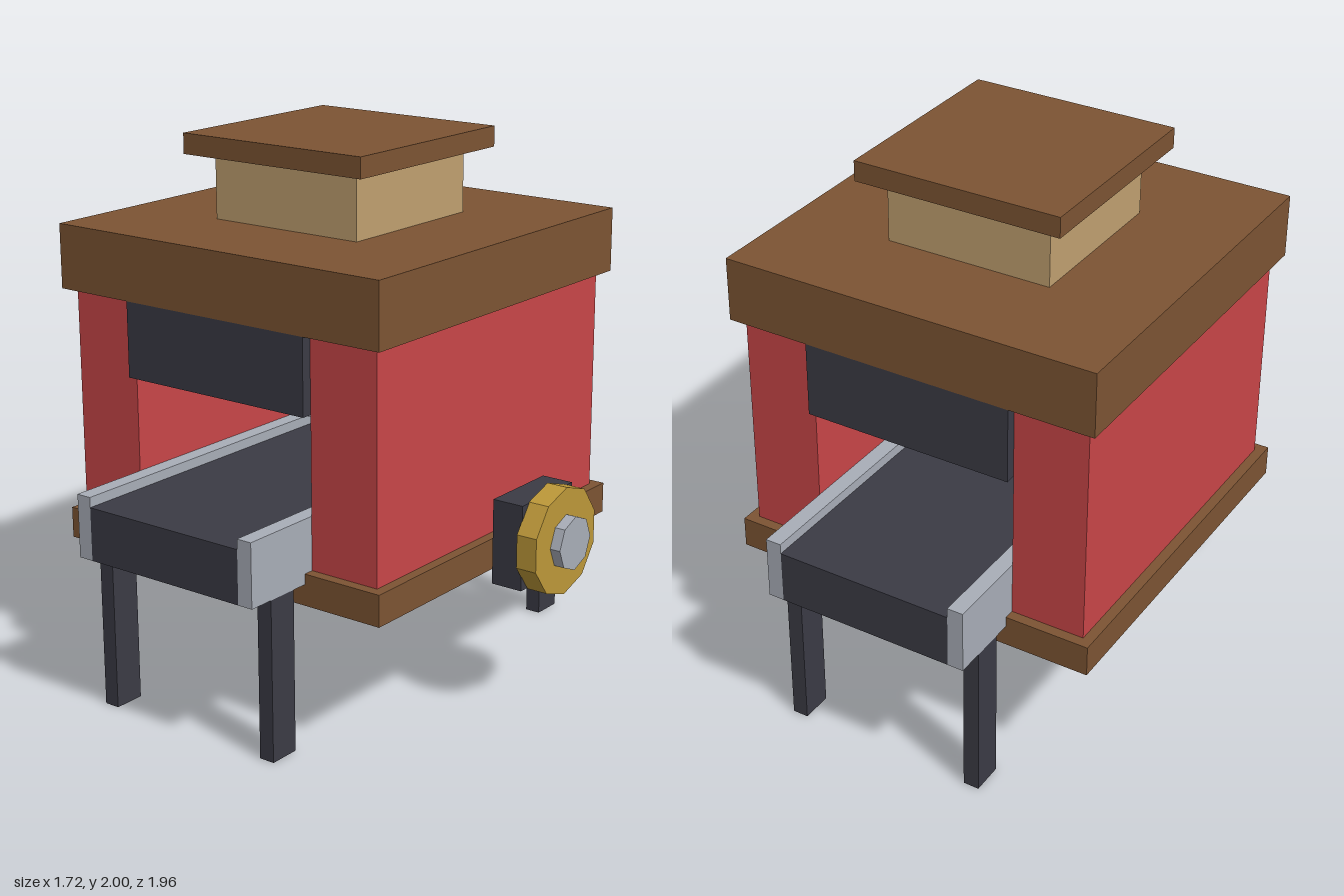
import * as THREE from 'three';

export function createModel() {
  const model = new THREE.Group();
  model.name = 'pressMachine';

  const mat = (name, color) => {
    const m = new THREE.MeshStandardMaterial({ color });
    m.name = name;
    return m;
  };
  const red = mat('red', 0xc94648);
  const brown = mat('brown', 0x7d5433);
  const tan = mat('tan', 0xc0a070);
  const dark = mat('charcoal', 0x3b3b45);
  const steel = mat('steel', 0xa9aeb8);
  const gold = mat('gold', 0xbd9839);

  const CX = -0.157; // centre line of the housing

  const add = (name, geometry, material, x, y, z) => {
    const mesh = new THREE.Mesh(geometry, material);
    mesh.name = name;
    mesh.position.set(x, y, z);
    model.add(mesh);
    return mesh;
  };
  // box given by centre x, bottom and top y, centre z, width and depth
  const box = (name, material, x, y0, y1, z, w, d) =>
    add(name, new THREE.BoxGeometry(w, y1 - y0, d), material, x, (y0 + y1) / 2, z);
  // faceted disc facing +x, with a corner pointing up
  const disc = (name, material, radius, sides, x0, x1, y) => {
    const g = new THREE.CylinderGeometry(radius, radius, x1 - x0, sides, 1, false, Math.PI / 2)
      .toNonIndexed();
    g.computeVertexNormals();
    g.rotateZ(-Math.PI / 2);
    return add(name, g, material, (x0 + x1) / 2, y, 0);
  };

  // housing: slabs and chimney
  box('base', brown, CX, 0.515, 0.63, 0, 1.41, 1.41);
  box('roof', brown, CX, 1.455, 1.69, 0, 1.41, 1.41);
  box('chimney', tan, CX, 1.69, 1.925, 0, 0.627, 0.627);
  box('chimneyCap', brown, CX, 1.925, 2, 0, 0.784, 0.784);

  for (const s of [-1, 1]) {
    const side = s > 0 ? 'left' : 'right';
    // side walls and conveyor rails
    box(side + 'Wall', red, CX + s * 0.5295, 0.63, 1.455, 0, 0.275, 1.332);
    box(side + 'Rail', steel, CX + s * 0.3625, 0.592, 0.825, 0, 0.059, 1.96);
    // conveyor legs
    for (const e of [-1, 1]) {
      box(side + (e > 0 ? 'FrontLeg' : 'BackLeg'), dark,
        CX + s * 0.3625, 0, 0.592, e * 0.824, 0.059, 0.118);
    }
    // hood over each opening
    box(s > 0 ? 'frontHood' : 'backHood', dark, CX, 1.18, 1.455, s * 0.666, 0.784, 0.078);
  }
  box('conveyorBelt', dark, CX, 0.592, 0.788, 0, 0.666, 1.96);

  // press ram with a cross of bars
  const ram = new THREE.CylinderGeometry(0.196, 0.196, 0.47, 8).toNonIndexed();
  ram.computeVertexNormals();
  add('pressRam', ram, steel, CX, 1.22, 0);
  box('crossBar', dark, CX, 1.14, 1.22, 0, 0.627, 0.078);
  box('lengthBar', dark, CX, 1.141, 1.219, 0, 0.078, 0.627);

  // drive unit on the left
  box('motor', dark, 0.685, 0.515, 0.825, 0, 0.12, 0.314);
  disc('driveWheel', gold, 0.196, 10, 0.743, 0.822, 0.67);
  disc('wheelHub', steel, 0.098, 8, 0.78, 0.861, 0.67);

  return model;
}
